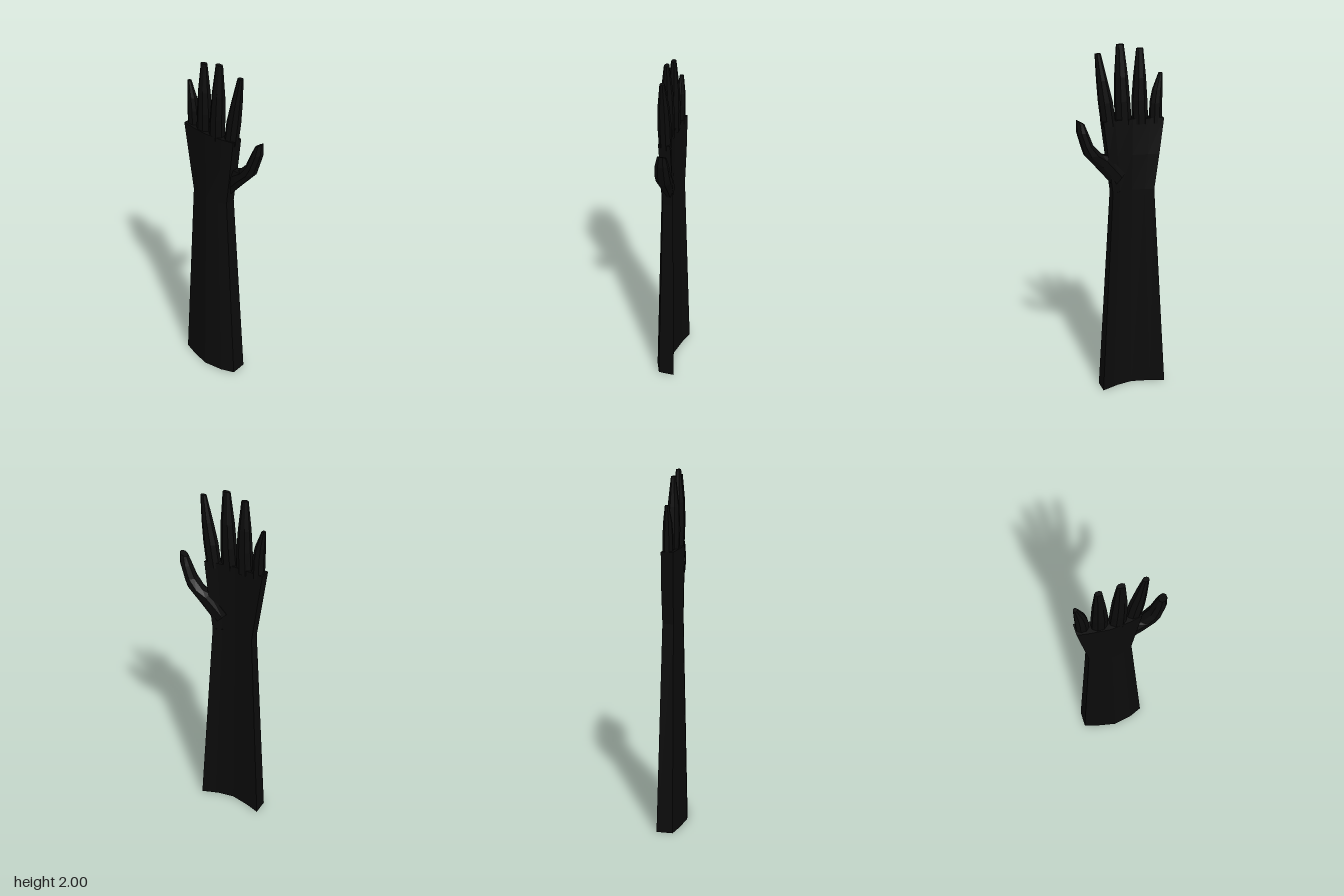
import * as THREE from 'three';

const material = new THREE.MeshStandardMaterial({ color: 0x0b0b0b, flatShading: true, roughness: 0.9 });

// Closed skin over a stack of rings (each an array of [x, y, z]), capped at both ends
function loft(name, rings) {
  const n = rings[0].length, pos = [], idx = [];
  rings.forEach(r => r.forEach(p => pos.push(...p)));
  for (let i = 0; i < rings.length - 1; i++) {
    for (let j = 0; j < n; j++) {
      const a = i * n + j, b = i * n + (j + 1) % n;
      idx.push(a, a + n, b, b, a + n, b + n);
    }
  }
  [0, rings.length - 1].forEach((i, top) => {
    const c = pos.length / 3;
    for (let k = 0; k < 3; k++) pos.push(rings[i].reduce((s, p) => s + p[k], 0) / n);
    for (let j = 0; j < n; j++) {
      const a = i * n + j, b = i * n + (j + 1) % n;
      idx.push(c, top ? b : a, top ? a : b);
    }
  });
  const g = new THREE.BufferGeometry();
  g.setAttribute('position', new THREE.Float32BufferAttribute(pos, 3));
  g.setIndex(idx);
  const flat = g.toNonIndexed();
  flat.computeVertexNormals();
  const mesh = new THREE.Mesh(flat, material);
  mesh.name = name;
  return mesh;
}

// Curved slab section: the front bows towards +z, the back runs parallel to it
function armRing([y, xMin, xMax, bow, thick, zEdge]) {
  const arc = [[1, 0], [0.8, 0.62], [0.5, 1], [0.21, 0.52], [0, 0]];
  const front = arc.map(([t, b]) => [xMin + (xMax - xMin) * t, y, zEdge + b * bow]);
  return [...front, ...front.map(([x, , z]) => [x, y, z - thick]).reverse()];
}

// Eight-sided section between a left and a right outline point
function digitRing([x1, y1, x2, y2, zc, hz]) {
  const ring = [];
  for (let i = 0; i < 8; i++) {
    const t = (i + 0.5) * Math.PI / 4, c = Math.cos(t) / Math.cos(Math.PI / 8), s = Math.sin(t) / Math.cos(Math.PI / 8);
    ring.push([(x1 + x2) / 2 + c * (x2 - x1) / 2, (y1 + y2) / 2 + c * (y2 - y1) / 2, zc + s * hz]);
  }
  return ring;
}

// Upright finger: rows of [y, xMin, xMax, half depth]
function finger(name, zc, rows) {
  return loft(name, rows.map(([y, a, b, hz]) => digitRing([a, y, b, y, zc, hz])));
}

export function createModel() {
  const group = new THREE.Group();
  group.name = 'forearmAndHand';

  // Forearm and palm: [y, xMin, xMax, bow, thickness, z of front edge]
  group.add(loft('forearm', [
    [0, -0.255, 0.125, 0.05, 0.092, 0.02],
    [1.2, -0.185, 0.055, 0.032, 0.06, 0.013],
  ].map(armRing)));
  group.add(loft('palm', [
    [1.2, -0.185, 0.055, 0.032, 0.06, 0.013],
    [1.4, -0.212, 0.08, 0.027, 0.064, 0.017],
    [1.6, -0.238, 0.105, 0.022, 0.064, 0.021],
  ].map(armRing)));

  // Fingers
  group.add(finger('littleFinger', -0.012, [
    [1.57, -0.232, -0.165, 0.026], [1.68, -0.233, -0.168, 0.026],
    [1.75, -0.234, -0.181, 0.022], [1.84, -0.235, -0.214, 0.01],
  ]));
  group.add(finger('ringFinger', 0, [
    [1.57, -0.158, -0.073, 0.031], [1.7, -0.151, -0.07, 0.033],
    [1.82, -0.143, -0.078, 0.029], [1.975, -0.128, -0.092, 0.012],
  ]));
  group.add(finger('middleFinger', 0.006, [
    [1.57, -0.066, 0.022, 0.032], [1.7, -0.055, 0.026, 0.035],
    [1.83, -0.043, 0.026, 0.031], [2.0, -0.022, 0.018, 0.012],
  ]));
  group.add(finger('indexFinger', -0.008, [
    [1.57, 0.028, 0.104, 0.031], [1.7, 0.046, 0.121, 0.033],
    [1.82, 0.075, 0.131, 0.028], [1.96, 0.109, 0.14, 0.012],
  ]));

  // Thumb, growing out of the rear of the palm
  group.add(loft('thumb', [
    [-0.02, 1.3, 0.045, 1.235, -0.022, 0.018],
    [0.075, 1.41, 0.13, 1.335, -0.025, 0.034],
    [0.115, 1.425, 0.21, 1.425, -0.03, 0.04],
    [0.165, 1.48, 0.228, 1.48, -0.03, 0.04],
    [0.192, 1.55, 0.252, 1.56, -0.034, 0.034],
    [0.212, 1.6, 0.252, 1.622, -0.036, 0.022],
  ].map(digitRing)));
  return group;
}
